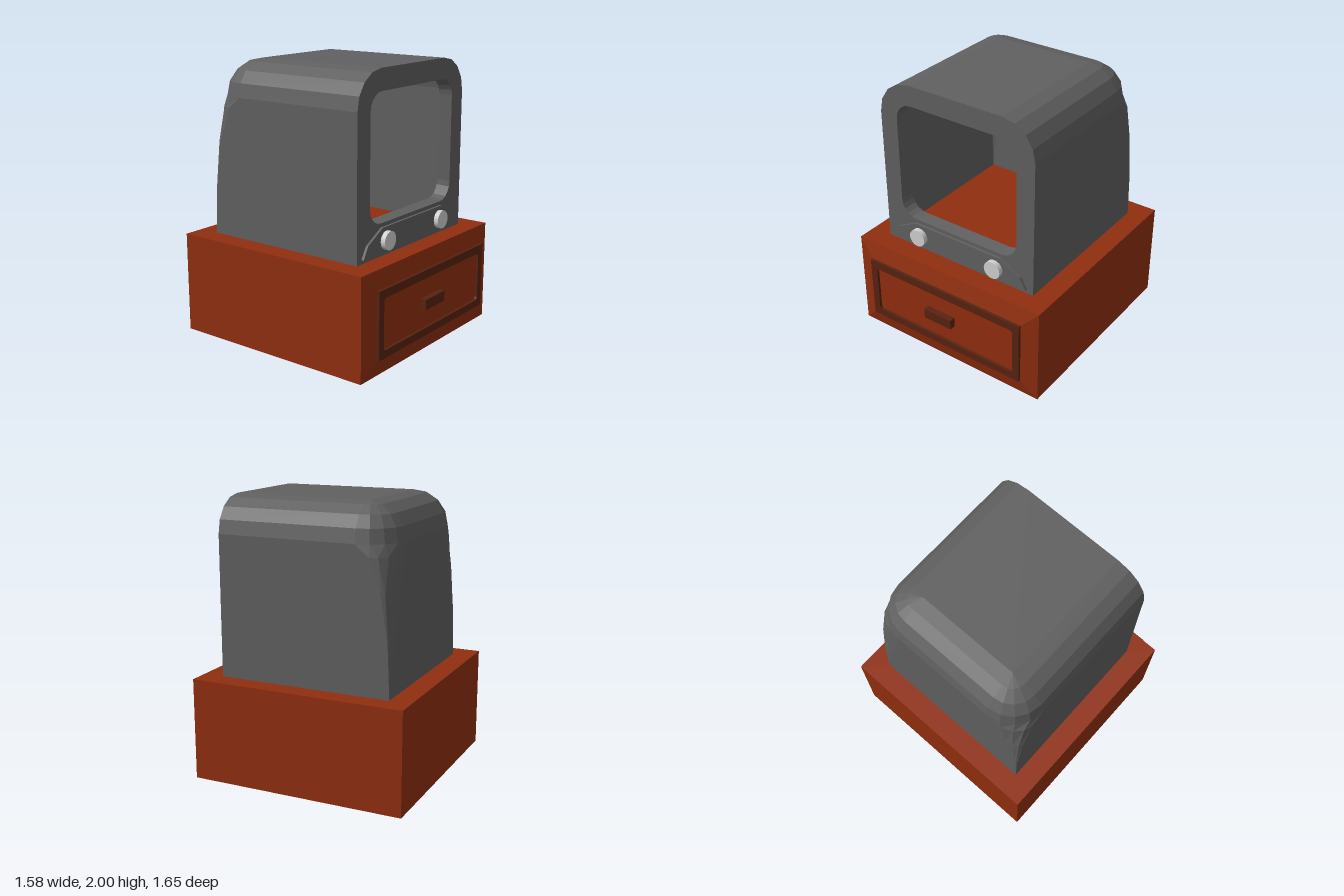
import * as THREE from 'three';

// Skin a list of cross-section loops with flat faces; optionally cap both ends
function loft(loops, { closed = true, capStart = false, capEnd = false } = {}) {
  const pos = [];
  const tri = (a, b, c) => {
    const area = new THREE.Vector3().subVectors(b, a).cross(new THREE.Vector3().subVectors(c, a));
    if (area.length() > 1e-9) for (const p of [a, b, c]) pos.push(p.x, p.y, p.z);
  };
  const n = loops[0].length;
  for (let k = 0; k < loops.length - 1; k++) {
    const a = loops[k], b = loops[k + 1];
    for (let i = 0; i < (closed ? n : n - 1); i++) {
      const j = (i + 1) % n;
      tri(a[i], a[j], b[j]);
      tri(a[i], b[j], b[i]);
    }
  }
  const first = loops[0], last = loops[loops.length - 1];
  for (let i = 1; i < n - 1; i++) {
    if (capStart) tri(first[0], first[i + 1], first[i]);
    if (capEnd) tri(last[0], last[i], last[i + 1]);
  }
  const geo = new THREE.BufferGeometry();
  geo.setAttribute('position', new THREE.Float32BufferAttribute(pos, 3));
  geo.computeVertexNormals();
  return geo;
}

const v = (x, y, z) => new THREE.Vector3(x, y, z);

function rectLoop(x0, x1, y0, y1, z) {
  return [v(x0, y0, z), v(x1, y0, z), v(x1, y1, z), v(x0, y1, z)];
}

// Rounded rectangle outline, counter-clockwise
function roundedRect(x0, x1, y0, y1, r, segs) {
  const pts = [];
  const centres = [[x1 - r, y1 - r], [x0 + r, y1 - r], [x0 + r, y0 + r], [x1 - r, y0 + r]];
  centres.forEach(([cx, cy], q) => {
    for (let i = 0; i <= segs; i++) {
      const a = (q + i / segs) * Math.PI / 2;
      pts.push(new THREE.Vector2(cx + r * Math.cos(a), cy + r * Math.sin(a)));
    }
  });
  return pts;
}

export function createModel() {
  const group = new THREE.Group();
  const casingGrey = new THREE.MeshStandardMaterial({ color: 0x606060, side: THREE.DoubleSide });
  casingGrey.name = 'casing grey';
  const wood = new THREE.MeshStandardMaterial({ color: 0x902e0f });
  wood.name = 'red wood';
  const darkWood = new THREE.MeshStandardMaterial({ color: 0x58230f });
  darkWood.name = 'dark wood';
  const knobGrey = new THREE.MeshStandardMaterial({ color: 0xd0d0d0 });
  knobGrey.name = 'knob light grey';

  const add = (name, geo, mat, x = 0, y = 0, z = 0) => {
    const mesh = new THREE.Mesh(geo, mat);
    mesh.name = name;
    mesh.position.set(x, y, z);
    group.add(mesh);
    return mesh;
  };

  // Cabinet with a bevelled front
  add('cabinet', loft([
    rectLoop(-0.79, 0.785, 0, 0.735, -0.825),
    rectLoop(-0.79, 0.785, 0, 0.735, 0.75),
    rectLoop(-0.66, 0.66, 0.13, 0.61, 0.78),
  ], { capStart: true, capEnd: true }), wood);

  // Drawer surround and handle
  const surround = new THREE.Shape([[-0.66, 0.13], [0.66, 0.13], [0.66, 0.61], [-0.66, 0.61]]
    .map(([x, y]) => new THREE.Vector2(x, y)));
  surround.holes.push(new THREE.Path(roundedRect(-0.605, 0.605, 0.185, 0.55, 0.02, 2)));
  add('drawerSurround', new THREE.ExtrudeGeometry(surround, { depth: 0.02, bevelEnabled: false }),
    darkWood, 0, 0, 0.78);
  add('drawerHandle', new THREE.BoxGeometry(0.235, 0.075, 0.046), darkWood, -0.025, 0.372, 0.803);

  // Casing levels: half width, height and rear corner radii
  const W = 0.635, BASE = 0.735, SPRING = 1.745, R = 0.255, FRONT = 0.6, BACK = -0.67, SEGS = 4;
  const levels = [];
  for (const u of [0, 0.36, 0.68, 0.92]) {
    levels.push({ w: W, y: BASE + u * (SPRING - BASE), back: BACK,
      rx: R * u, rz: R * (1 - Math.sqrt(1 - u * u)) });
  }
  for (let i = 0; i <= SEGS; i++) {
    const a = i / SEGS * Math.PI / 2, c = R * Math.cos(a);
    levels.push({ w: W - R + c, y: SPRING + R * Math.sin(a), back: BACK + R - c, rx: c, rz: c });
  }
  const loops = levels.map(({ w, y, back, rx, rz }) => {
    const half = [v(w, y, FRONT)];
    for (let i = 0; i <= SEGS; i++) {
      const t = i / SEGS * Math.PI / 2;
      half.push(v(w - rx * (1 - Math.cos(t)), y, back + rz * (1 - Math.sin(t))));
    }
    return [...half, ...half.slice().reverse().map(p => v(-p.x, p.y, p.z))];
  });
  add('casingShell', loft(loops, { closed: false, capEnd: true }), casingGrey);

  // Front fascia with the screen opening
  const right = levels.map(l => new THREE.Vector2(l.w, l.y));
  const fascia = new THREE.Shape([...right, ...right.slice().reverse().map(p => new THREE.Vector2(-p.x, p.y))]);
  const opening = roundedRect(-0.495, 0.495, 0.965, 1.85, 0.125, 5);
  fascia.holes.push(new THREE.Path(opening));
  add('frontFascia', new THREE.ShapeGeometry(fascia), casingGrey, 0, 0, FRONT);

  // Inner lip around the opening
  const lip = [[1, FRONT], [0.985, FRONT - 0.1]].map(([s, z]) =>
    opening.map(p => v(p.x * s, 1.4075 + (p.y - 1.4075) * s, z)));
  add('screenLip', loft(lip), casingGrey);

  // Control panel and two knobs
  const panel = new THREE.Shape([[-0.585, 0.765], [0.585, 0.765], [0.535, 0.85], [0.37, 0.938],
    [-0.37, 0.938], [-0.535, 0.85]].map(([x, y]) => new THREE.Vector2(x, y)));
  add('controlPanel', new THREE.ExtrudeGeometry(panel, { depth: 0.018, bevelEnabled: false }),
    casingGrey, 0, 0, FRONT);
  for (const side of [-1, 1]) {
    const knob = new THREE.CylinderGeometry(0.066, 0.066, 0.035, 20).rotateX(Math.PI / 2);
    add(side > 0 ? 'leftKnob' : 'rightKnob', knob, knobGrey, side * 0.329, 0.845, 0.6355);
  }
  return group;
}
